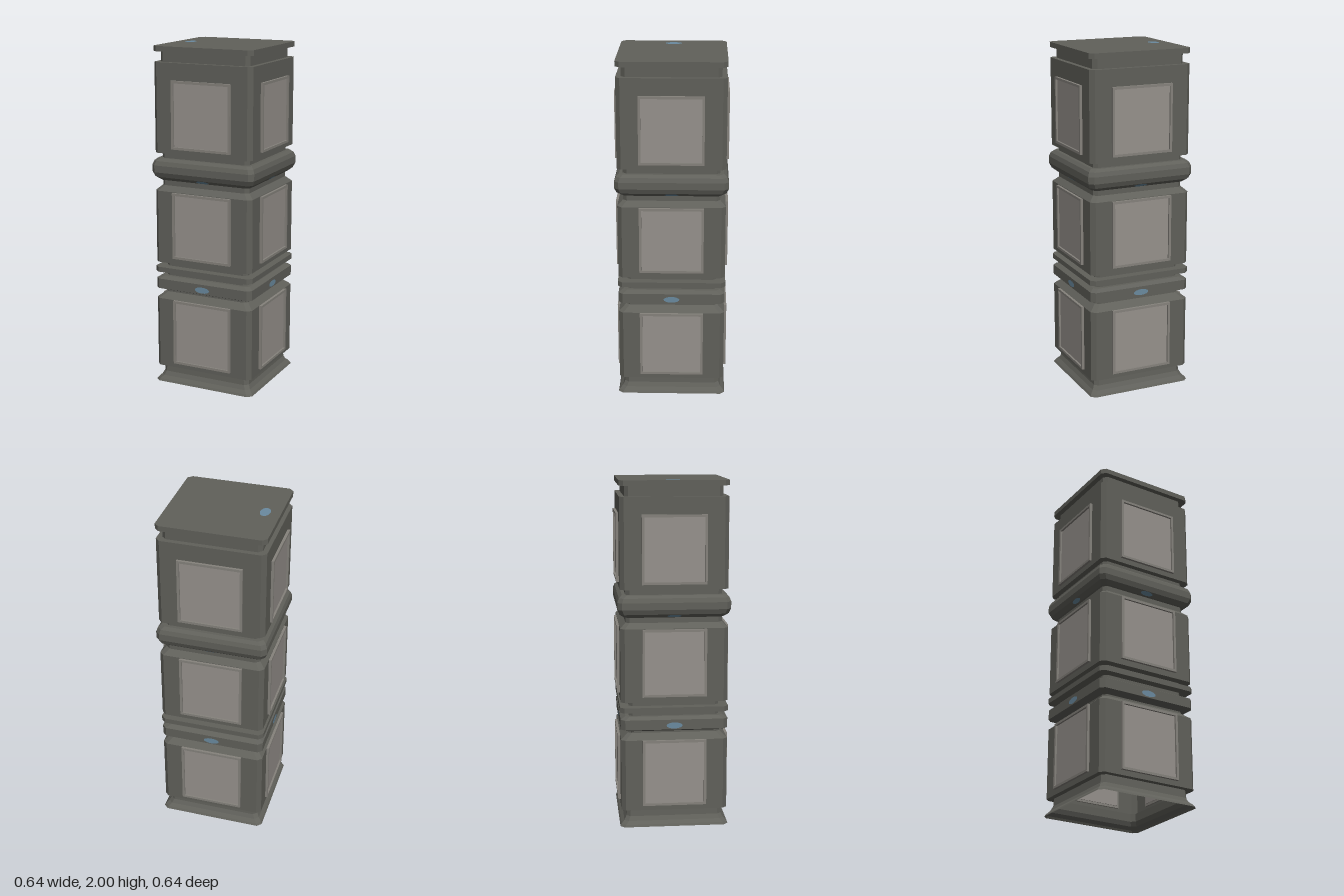
import * as THREE from 'three';

const stone = new THREE.MeshStandardMaterial({ color: 0x60605a, flatShading: true, side: THREE.DoubleSide });
stone.name = 'darkStone';
const frameMat = new THREE.MeshStandardMaterial({ color: 0x85827c });
frameMat.name = 'frameStone';
const panelMat = new THREE.MeshStandardMaterial({ color: 0x96918c });
panelMat.name = 'paleStone';
const blue = new THREE.MeshStandardMaterial({ color: 0x6a8a9f, side: THREE.DoubleSide });
blue.name = 'blueSpot';

// Square ring with cut corners, running anticlockwise seen from above
function ring(h) {
  const k = h * 0.92;
  return [[-k, h], [k, h], [h, k], [h, -k], [k, -h], [-k, -h], [-h, -k], [-h, k]];
}

// Stack of rings from a profile of [y, half width]
function loft(profile) {
  const pos = [];
  for (let i = 0; i < profile.length - 1; i++) {
    const [y0, h0] = profile[i], [y1, h1] = profile[i + 1];
    const lo = ring(h0), hi = ring(h1);
    for (let j = 0; j < 8; j++) {
      const n = (j + 1) % 8;
      const a = [lo[j][0], y0, lo[j][1]], b = [lo[n][0], y0, lo[n][1]];
      const c = [hi[n][0], y1, hi[n][1]], d = [hi[j][0], y1, hi[j][1]];
      if (h0 > 0) pos.push(...a, ...b, ...c);
      if (h1 > 0) pos.push(...a, ...c, ...d);
      else if (h0 === 0) continue;
    }
  }
  const g = new THREE.BufferGeometry();
  g.setAttribute('position', new THREE.Float32BufferAttribute(pos, 3));
  g.computeVertexNormals();
  return g;
}

function rect(path, w, h) {
  path.moveTo(-w, -h);
  path.lineTo(w, -h);
  path.lineTo(w, h);
  path.lineTo(-w, h);
  path.closePath();
  return path;
}

function add(parent, name, geometry, material) {
  const mesh = new THREE.Mesh(geometry, material);
  mesh.name = name;
  parent.add(mesh);
  return mesh;
}

export function createModel() {
  const model = new THREE.Group();
  model.name = 'pillar';

  // Shaft sections, bottom to top; the foot is open underneath
  const sections = {
    foot: [[0, 0.315], [0.012, 0.308], [0.03, 0.29], [0.055, 0.278], [0.1, 0.275]],
    lowerBlock: [[0.1, 0.275], [0.1, 0.307], [0.52, 0.307], [0.555, 0.265], [0.565, 0.265]],
    lowerBand: [[0.565, 0.265], [0.582, 0.308], [0.64, 0.308], [0.655, 0.28], [0.655, 0.26], [0.683, 0.26]],
    thinBand: [[0.683, 0.26], [0.683, 0.311], [0.713, 0.311], [0.713, 0.26], [0.743, 0.26]],
    middleBlock: [[0.743, 0.26], [0.743, 0.307], [1.17, 0.307], [1.2, 0.275], [1.23, 0.275]],
    roundBand: [[1.23, 0.275], [1.232, 0.285], [1.252, 0.31], [1.28, 0.322], [1.32, 0.322],
      [1.345, 0.313], [1.36, 0.295], [1.36, 0.275], [1.392, 0.275]],
    upperBlock: [[1.392, 0.275], [1.392, 0.307], [1.91, 0.307], [1.91, 0.278], [1.97, 0.278]],
    cap: [[1.97, 0.278], [1.97, 0.309], [2, 0.309], [2, 0]],
  };
  for (const name in sections) add(model, name, loft(sections[name]), stone);

  // Raised frame with a recessed panel
  const outline = rect(new THREE.Shape(), 0.184, 0.195);
  outline.holes.push(rect(new THREE.Path(), 0.17, 0.181));
  const frameGeo = new THREE.ExtrudeGeometry(outline, { depth: 0.025, bevelEnabled: false });
  const panelGeo = new THREE.BoxGeometry(0.342, 0.364, 0.018);
  const spotGeo = new THREE.CircleGeometry(1, 16);

  for (let side = 0; side < 4; side++) {
    const face = new THREE.Group();
    face.name = 'face' + (side + 1);
    face.rotation.y = side * Math.PI / 2;
    for (const y of [0.325, 0.972, 1.617]) {
      add(face, 'panelFrame', frameGeo, frameMat).position.set(0, y, 0.297);
      add(face, 'panel', panelGeo, panelMat).position.set(0, y, 0.302);
    }
    // Small spots on the lower band and under the round band
    const bandSpot = add(face, 'bandSpot', spotGeo, blue);
    bandSpot.position.set(0, 0.606, 0.3095);
    bandSpot.scale.set(0.046, 0.018, 1);
    const underSpot = add(face, 'underSpot', spotGeo, blue);
    underSpot.position.set(0, 1.2412, 0.2985);
    underSpot.rotation.x = Math.atan2(0.025, 0.02);
    underSpot.scale.set(0.04, 0.014, 1);
    model.add(face);
  }

  // Spot on top of the cap
  const topSpot = add(model, 'topSpot', spotGeo, blue);
  topSpot.rotation.x = -Math.PI / 2;
  topSpot.position.set(-0.222, 2.001, 0);
  topSpot.scale.set(0.029, 0.048, 1);

  return model;
}
